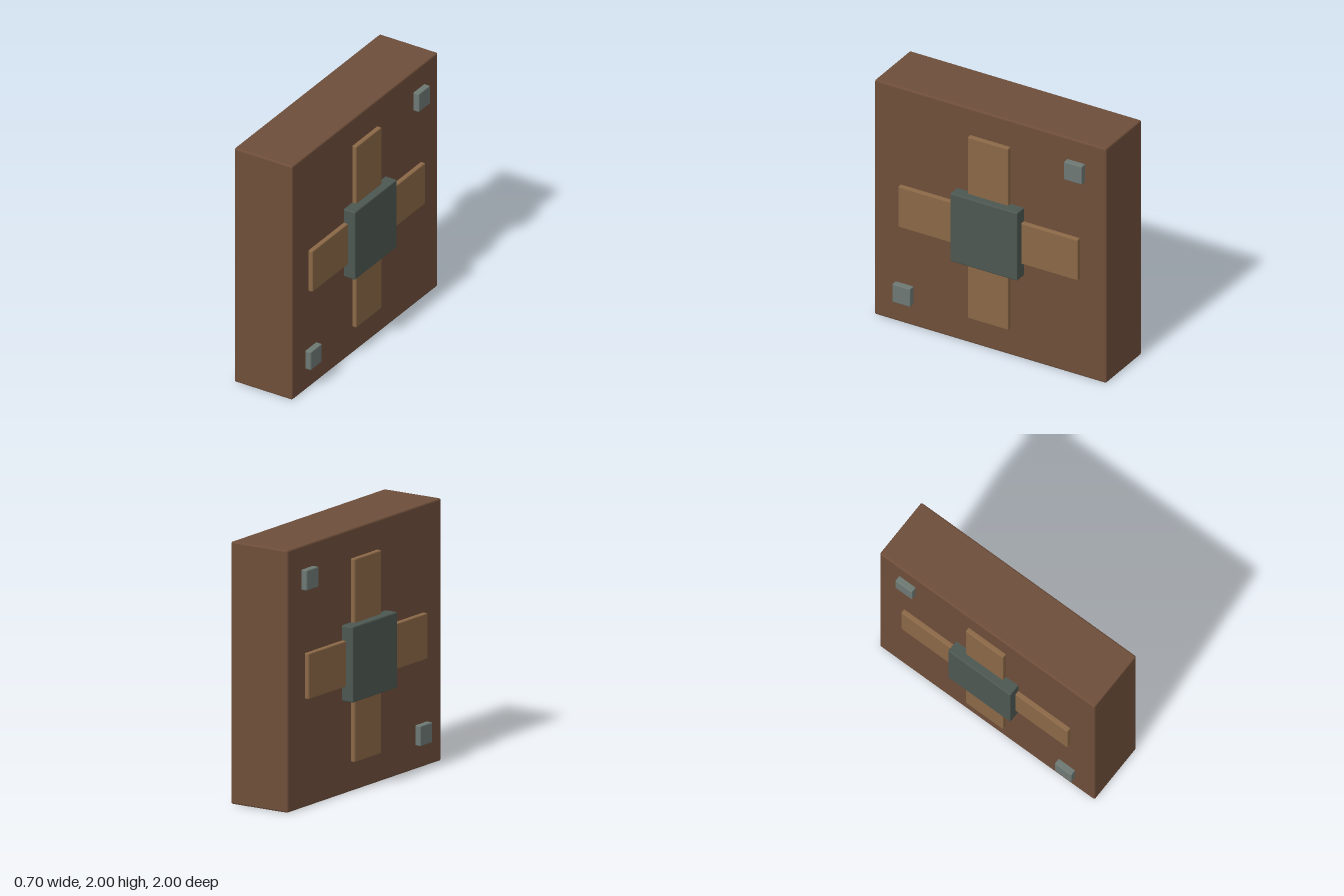
import * as THREE from 'three';
import { RoundedBoxGeometry } from 'three/addons/geometries/RoundedBoxGeometry.js';

const material = (name, color) => {
  const m = new THREE.MeshStandardMaterial({ color });
  m.name = name;
  return m;
};

export function createModel() {
  const group = new THREE.Group();
  group.name = 'woodenBlock';
  const darkWood = material('dark wood', 0x6e4e3a);
  const lightWood = material('light wood', 0x8a6846);
  const darkMetal = material('dark metal', 0x4d5751);
  const paleMetal = material('pale metal', 0x6d7873);

  // Box with a narrow flat chamfer on every edge
  const addBox = (name, mat, [w, h, d], [x, y, z], bevel) => {
    const geometry = new RoundedBoxGeometry(w, h, d, 1, bevel);
    geometry.computeVertexNormals();
    const mesh = new THREE.Mesh(geometry, mat);
    mesh.name = name;
    mesh.position.set(x, y, z);
    group.add(mesh);
  };

  // Thick square slab
  addBox('body', darkWood, [0.51, 2, 2], [0, 1, 0], 0.012);

  // Same fittings on both broad faces
  for (const side of [-1, 1]) {
    const label = side > 0 ? 'left' : 'right';

    // Crossed wooden strips, each arm running under the hub
    for (const s of [-1, 1]) {
      addBox(label + 'UprightArm', lightWood, [0.08, 0.62, 0.35], [side * 0.25, 1 + s * 0.465, 0], 0.008);
      addBox(label + 'LevelArm', lightWood, [0.08, 0.35, 0.62], [side * 0.25, 1, s * 0.465], 0.008);

      // Corner studs on one diagonal
      addBox(label + 'Stud', paleMetal, [0.1, 0.155, 0.155], [side * 0.253, 1 + s * 0.742, -s * 0.742], 0.007);
    }

    // Central metal plate
    addBox(label + 'Hub', darkMetal, [0.14, 0.58, 0.58], [side * 0.282, 1, 0], 0.01);
  }
  return group;
}
